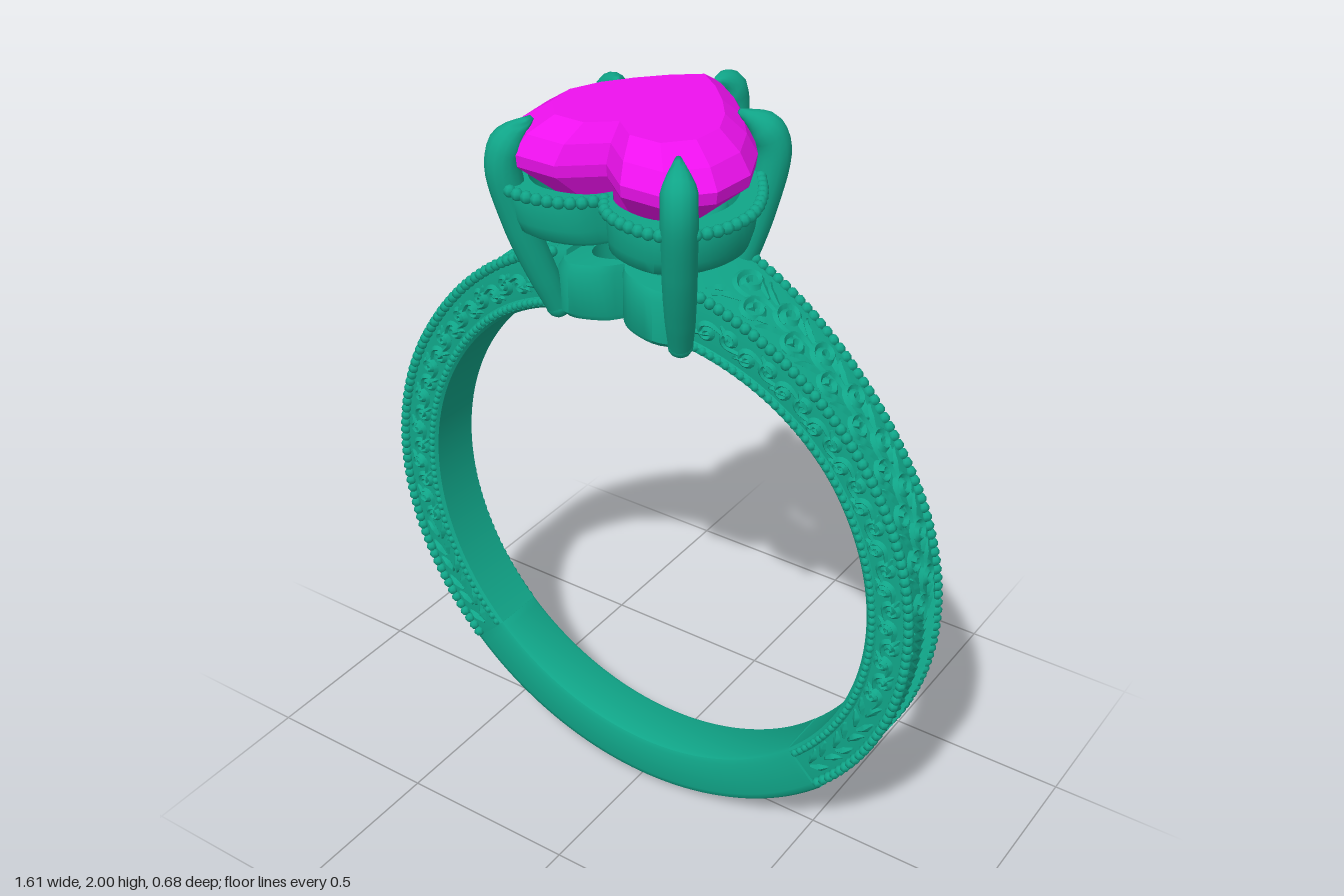
import * as THREE from 'three';
import { mergeGeometries, toCreasedNormals } from 'three/addons/utils/BufferGeometryUtils.js';

const V = (x, y, z) => new THREE.Vector3(x, y, z);
const RAD = Math.PI / 180;
const CY = 0.815, CZ = 0.042; // centre of the band

// Skin a list of closed loops; either capped or joined end to end. Always faces outward.
function loft(rings, { closed = false, crease = 0.7 } = {}) {
  const n = rings[0].length, m = rings.length, idx = [];
  const pts = rings.flat();
  for (let i = 0; i < (closed ? m : m - 1); i++) {
    for (let j = 0; j < n; j++) {
      const a = i * n + j, b = i * n + (j + 1) % n;
      const c = ((i + 1) % m) * n + j, d = ((i + 1) % m) * n + (j + 1) % n;
      idx.push(a, b, d, a, d, c);
    }
  }
  if (!closed) {
    for (const i of [0, m - 1]) {
      const mid = V(0, 0, 0);
      rings[i].forEach((p) => mid.addScaledVector(p, 1 / n));
      const k = pts.push(mid) - 1;
      for (let j = 0; j < n; j++) {
        const a = i * n + j, b = i * n + (j + 1) % n;
        if (i === 0) idx.push(k, b, a); else idx.push(k, a, b);
      }
    }
  }
  let volume = 0;
  for (let i = 0; i < idx.length; i += 3) {
    volume += pts[idx[i]].dot(V(0, 0, 0).crossVectors(pts[idx[i + 1]], pts[idx[i + 2]]));
  }
  if (volume < 0) idx.reverse();
  const geo = new THREE.BufferGeometry().setFromPoints(pts);
  geo.setIndex(idx);
  geo.computeVertexNormals();
  return toCreasedNormals(geo, crease);
}

// Round wire along points, its radius read from a list
function taperTube(points, radii, segs, sides) {
  const curve = new THREE.CatmullRomCurve3(points);
  const { normals, binormals } = curve.computeFrenetFrames(segs);
  const rings = [];
  for (let i = 0; i <= segs; i++) {
    const t = i / segs, f = t * (radii.length - 1), k = Math.min(Math.floor(f), radii.length - 2);
    const r = THREE.MathUtils.lerp(radii[k], radii[k + 1], f - k);
    const c = curve.getPointAt(t);
    rings.push(Array.from({ length: sides }, (_, j) => {
      const a = j / sides * Math.PI * 2;
      return c.clone().addScaledVector(normals[i], r * Math.cos(a)).addScaledVector(binormals[i], r * Math.sin(a));
    }));
  }
  return loft(rings, { crease: 1.4 });
}

const bead = (p, r) => new THREE.SphereGeometry(r, 7, 5).translate(p.x, p.y, p.z);

// Heart outline seen from above, point at the back, cleft at the front
const half = new THREE.CatmullRomCurve3([[0, -0.28], [0.1, -0.2], [0.2, -0.09], [0.28, 0.03], [0.308, 0.13],
  [0.28, 0.24], [0.2, 0.31], [0.11, 0.31], [0.04, 0.28], [0, 0.23]].map(([x, z]) => V(x, 0, z)));
function heart(scale, y, n, drop = 0) {
  const right = half.getSpacedPoints(n);
  const left = right.slice(1, -1).reverse().map((p) => V(-p.x, 0, p.z));
  return [...right, ...left].map((p) => {
    const x = p.x * scale;
    return V(x, y - drop * x * x, 0.05 + (p.z - 0.05) * scale);
  });
}

// Band: b is the angle from the bottom of the ring
const flare = (b) => Math.pow(THREE.MathUtils.clamp((Math.abs(b) / RAD - 122) / 46, 0, 1), 1.7);
const halfWidth = (b) => 0.08 + 0.055 * flare(b);
const outerR = (b) => 0.792 + 0.04 * flare(b);
const onBand = (b, r, z) => V(r * Math.sin(b), CY - r * Math.cos(b), CZ + z);

function band(from, to, segs, profile) {
  const rings = [];
  for (let i = 0; i <= segs; i++) {
    const b = (from + (to - from) * i / segs) * RAD, w = halfWidth(b);
    const side = profile(outerR(b));
    rings.push([...side.map(([r, k]) => onBand(b, r, k * w)),
      ...side.slice().reverse().map(([r, k]) => onBand(b, r, -k * w))]);
  }
  return loft(rings);
}

// Engraving drawn in local units (s along the band, t across it) and mapped on by place
function scroll(place, s0, t0, rho, dir) {
  const pts = [place(s0 - rho * 2, t0 - dir * rho * 0.7)];
  for (let k = 0; k <= 10; k++) {
    const a = -Math.PI / 2 + k / 10 * Math.PI * 2.8, r = rho * (1 - 0.075 * k);
    pts.push(place(s0 + r * Math.cos(a), t0 + dir * r * Math.sin(a)));
  }
  return taperTube(pts, [0.004, 0.009, 0.008, 0.011], 24, 4);
}
function leaf(place, s0, t0, s1, t1, bow) {
  const mid = place((s0 + s1) / 2 + bow, (t0 + t1) / 2);
  return taperTube([place(s0, t0), mid, place(s1, t1)], [0.004, 0.011, 0.003], 8, 4);
}

function engraving(sign) {
  const out = [], steps = 27;
  for (let i = 0; i < steps; i++) {
    const deg = 49 + i * 4.35, s = deg * RAD * 0.79, dir = i % 2 ? 1 : -1;
    // outer face: herringbone leaves low down, scrolls higher up
    const face = (u, t) => {
      const b = u / 0.79;
      return onBand(sign * b, outerR(b), t * halfWidth(b) / 0.08);
    };
    if (deg < 95) {
      for (const e of [-1, 1]) {
        out.push(leaf(face, s - 0.025, 0, s + 0.03, e * 0.058, -0.008));
        out.push(leaf(face, s + 0.005, 0, s + 0.055, e * 0.05, -0.008));
      }
    } else {
      out.push(scroll(face, s, dir * 0.024, 0.034, dir));
      out.push(leaf(face, s - 0.035, -dir * 0.02, s + 0.03, -dir * 0.055, 0.015));
      out.push(leaf(face, s, -dir * 0.02, s + 0.05, -dir * 0.05, 0.012));
    }
    // both flanks
    for (const e of [-1, 1]) {
      const flank = (u, t) => {
        const b = u / 0.79, r = 0.738 + 0.02 * flare(b) + t;
        return onBand(sign * b, r, e * halfWidth(b) * 0.92);
      };
      if (deg > 75) out.push(scroll(flank, s, dir * 0.008, 0.023, dir));
      else out.push(leaf(flank, s - 0.025, -dir * 0.005, s + 0.03, -dir * 0.03, -0.006));
      out.push(leaf(flank, s - 0.02, dir * 0.005, s + 0.035, dir * 0.03, 0.01));
    }
  }
  return mergeGeometries(out);
}

function bandBeads(sign) {
  const out = [];
  for (let deg = 46; deg < 166; deg += 1.75) {
    const b = deg * RAD, w = halfWidth(b);
    for (const e of [-1, 1]) {
      out.push(bead(onBand(sign * b, outerR(b) - 0.002, e * w * 0.93), 0.0145));
      out.push(bead(onBand(sign * b, 0.692, e * w * 0.95), 0.011));
    }
  }
  return mergeGeometries(out);
}

export function createModel() {
  const model = new THREE.Group();
  const metal = new THREE.MeshStandardMaterial({ color: 0x10a588 });
  const gem = new THREE.MeshStandardMaterial({ color: 0xee11ee, flatShading: true });
  const add = (name, geo, mat = metal) => {
    const mesh = new THREE.Mesh(geo, mat);
    mesh.name = name;
    model.add(mesh);
  };

  // Plain lower band
  add('plainBand', band(-45, 45, 48, () =>
    [[0.672, 0.8], [0.677, 0.93], [0.69, 1], [0.785, 1], [0.8, 0.95], [0.81, 0.8], [0.815, 0.4]]));

  // Engraved shoulders with milgrain edges
  for (const [side, sign] of [['left', 1], ['right', -1]]) {
    add(side + 'Shoulder', band(sign * 45, sign * 168, 70, (R) =>
      [[0.675, 0.9], [0.682, 0.98], [0.698, 0.98], [0.704, 0.91], [R - 0.02, 0.91], [R - 0.003, 0.86], [R, 0.5]]));
    add(side + 'Engraving', engraving(sign));
    add(side + 'Milgrain', bandBeads(sign));
  }

  // Lower heart collar, arched to follow the finger
  add('headBase', loft([heart(0.62, 1.495, 32, 0.75), heart(0.66, 1.51, 32, 0.75), heart(0.66, 1.62, 32, 0.9),
    heart(0.62, 1.64, 32, 0.9), heart(0.42, 1.64, 32, 0.9), heart(0.4, 1.495, 32, 0.75)], { closed: true }));

  // Upper heart rail with beaded rim
  add('galleryRail', loft([heart(0.9, 1.715, 40), heart(0.95, 1.725, 40), heart(0.985, 1.755, 40),
    heart(1.02, 1.825, 40), heart(1, 1.84, 40), heart(0.85, 1.84, 40), heart(0.78, 1.72, 40)], { closed: true }));
  add('galleryBeads', mergeGeometries(heart(1.035, 1.832, 38).map((p) => bead(p, 0.0155))));

  // Claw prongs: foot, top, claw tip
  const prongs = [
    ['backProng', [0, 1.5, -0.185], [0, 1.89, -0.302], [0, 1.965, -0.22]],
    ...[1, -1].flatMap((s) => {
      const side = s > 0 ? 'left' : 'right';
      return [
        [side + 'MiddleProng', [s * 0.145, 1.5, -0.06], [s * 0.232, 1.89, -0.115], [s * 0.17, 1.985, -0.06]],
        [side + 'FrontProng', [s * 0.178, 1.49, 0.19], [s * 0.243, 1.89, 0.296], [s * 0.2, 1.985, 0.235]],
      ];
    }),
  ];
  for (const [name, foot, top, tip] of prongs) {
    const [a, b, c] = [foot, top, tip].map((p) => V(...p));
    const waist = a.clone().lerp(b, 0.6);
    waist.x += (b.x - a.x) * 0.12;
    waist.z += (b.z - a.z) * 0.12;
    const bend = b.clone().lerp(c, 0.25).setY(b.y + 0.05);
    add(name, mergeGeometries([
      taperTube([a, waist, b, bend, c], [0.03, 0.036, 0.039, 0.041, 0.042, 0.043, 0.042, 0.006], 32, 14),
      toCreasedNormals(new THREE.SphereGeometry(0.031, 14, 8).translate(a.x, a.y, a.z).deleteAttribute('uv'), 1.5),
    ]));
  }

  // Faceted heart stone: pavilion, girdle, crown, table
  add('stone', loft([heart(0.002, 1.64, 8), heart(0.55, 1.775, 8), heart(0.97, 1.885, 8), heart(0.985, 1.915, 8),
    heart(0.88, 1.96, 8), heart(0.68, 2, 8)], { crease: 0.01 }), gem);

  return model;
}
